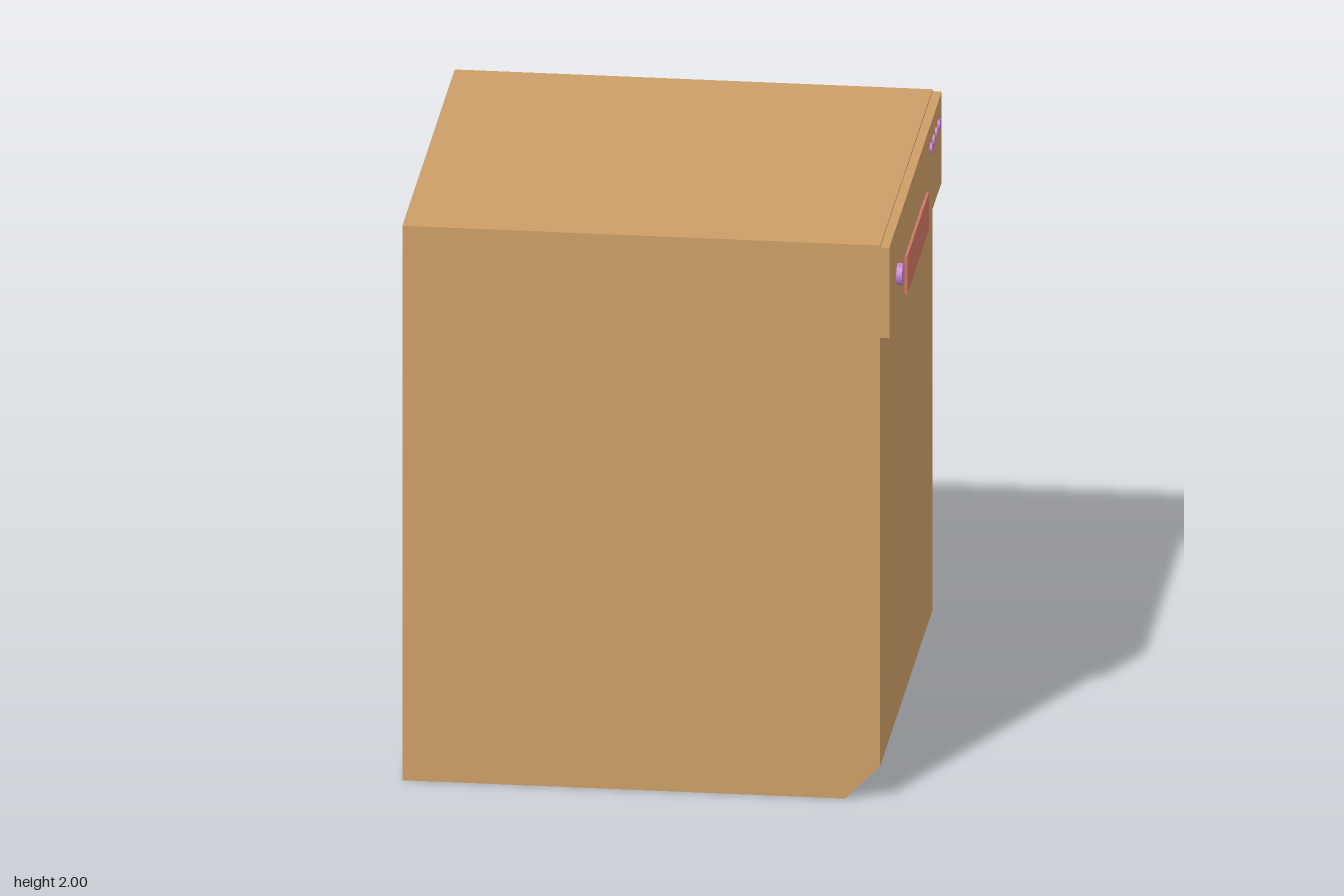
import * as THREE from 'three';

const tan = new THREE.MeshStandardMaterial({ color: 0xcc9e66 });
const red = new THREE.MeshStandardMaterial({ color: 0xcc7762 });
const violet = new THREE.MeshStandardMaterial({ color: 0xc47fd0 });

export function createModel() {
  const model = new THREE.Group();
  model.name = 'dishwasher';

  const add = (name, geometry, material, x, y, z) => {
    const mesh = new THREE.Mesh(geometry, material);
    mesh.name = name;
    mesh.position.set(x, y, z);
    model.add(mesh);
    return mesh;
  };

  // Box spanning x0..x1 and y0..y1, centred on z = 0
  const slab = (name, material, x0, x1, y0, y1, depth) =>
    add(name, new THREE.BoxGeometry(x1 - x0, y1 - y0, depth), material, (x0 + x1) / 2, (y0 + y1) / 2, 0);

  // Round control standing out of the panel along +x
  const control = (name, radius, x0, x1, y, z) => {
    const geometry = new THREE.CylinderGeometry(radius, radius, x1 - x0, 32).rotateZ(-Math.PI / 2);
    return add(name, geometry, violet, (x0 + x1) / 2, y, z);
  };

  // Cabinet: side profile with a chamfered toe edge, extruded across its width
  const profile = new THREE.Shape([
    [-0.84, 0], [0.665, 0], [0.785, 0.122], [0.785, 2], [-0.84, 2],
  ].map(([x, y]) => new THREE.Vector2(x, y)));
  const width = 1.512;
  add('cabinet', new THREE.ExtrudeGeometry(profile, { depth: width, bevelEnabled: false }), tan, 0, 0, -width / 2);

  // Control panel and its handle
  slab('controlPanel', tan, 0.785, 0.816, 1.667, 1.993, width);
  slab('handle', red, 0.81, 0.825, 1.66, 1.796, 0.622);

  // Dial and the row of buttons
  control('dial', 0.038, 0.81, 0.836, 1.812, 0.522);
  for (let i = 0; i < 4; i++) {
    control('button' + (i + 1), 0.018, 0.81, 0.824, 1.914, -0.426 - i * 0.074);
  }

  return model;
}
